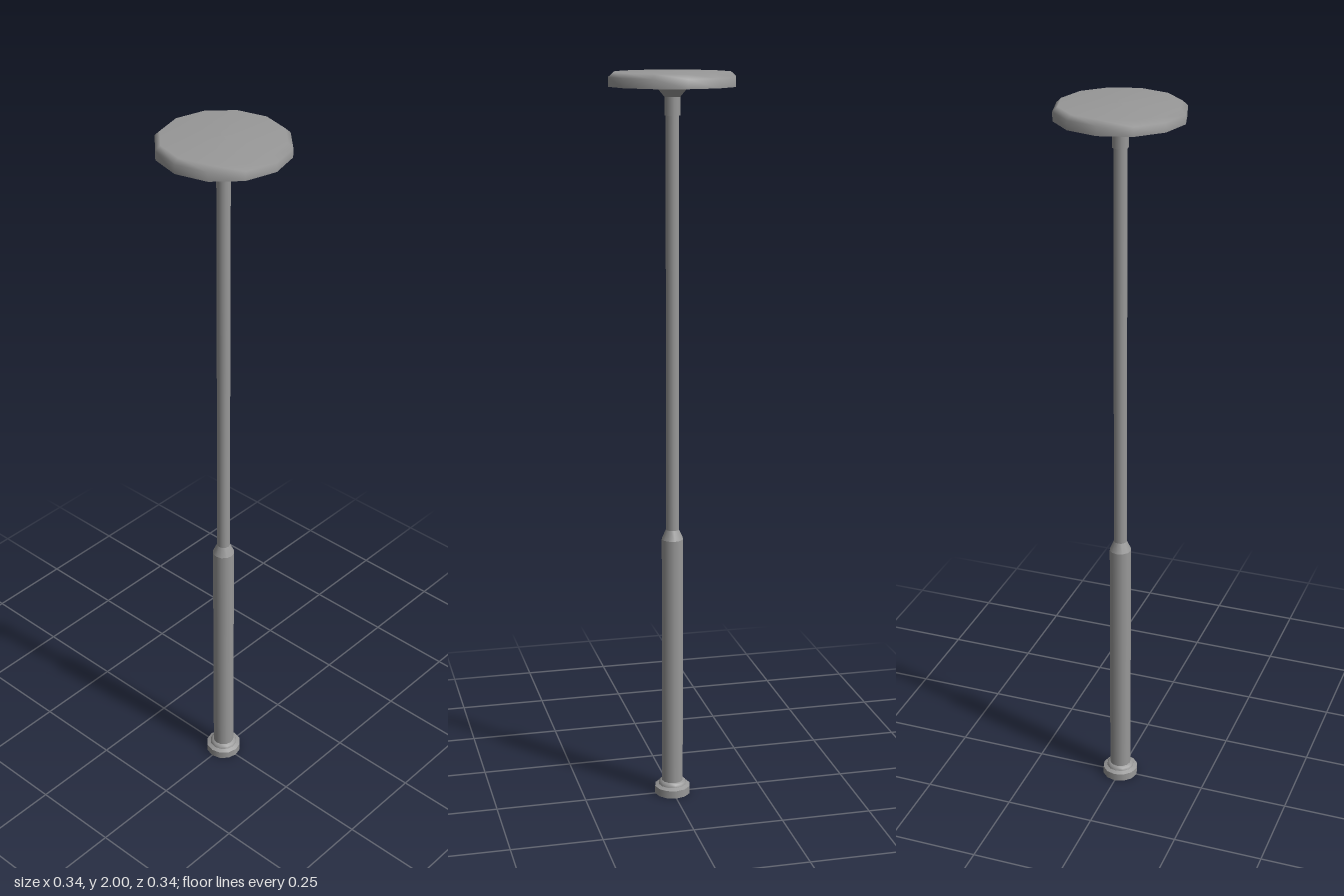
import * as THREE from 'three';

const SIDES = 12;

export function createModel() {
  const group = new THREE.Group();
  group.name = 'streetLamp';
  const material = new THREE.MeshStandardMaterial({ color: 0x999999, side: THREE.DoubleSide });

  // Turned part from runs of [radius, height] pairs, bottom to top:
  // smooth within a run, sharp edge between runs
  const turned = (name, ...runs) => {
    const part = new THREE.Group();
    part.name = name;
    for (const run of runs) {
      const points = run.map(([r, y]) => new THREE.Vector2(r, y));
      part.add(new THREE.Mesh(new THREE.LatheGeometry(points, SIDES), material));
    }
    group.add(part);
  };

  // Foot flange, open underneath, stepping in to the post
  turned('baseFlange',
    [[0.05, 0], [0.05, 0.022]],
    [[0.05, 0.022], [0.039, 0.027]],
    [[0.039, 0.027], [0.037, 0.035], [0.03, 0.038]]);
  // Thick lower post with a tapered shoulder
  turned('lowerPost', [[0.03, 0.03], [0.03, 0.748]], [[0.03, 0.748], [0.018, 0.775]]);
  // Slim upper pole
  turned('upperPole', [[0.018, 0.77], [0.018, 1.9]]);
  // Sleeve flaring out below the lamp head
  turned('headCollar',
    [[0.018, 1.888], [0.021, 1.888]],
    [[0.021, 1.888], [0.021, 1.935]],
    [[0.021, 1.935], [0.044, 1.962]]);
  // Lamp head: flat underside, then rim and top in one soft curve
  turned('lampHead',
    [[0, 1.962], [0.169, 1.962]],
    [[0.169, 1.962], [0.169, 1.986], [0.156, 1.998], [0, 2]]);

  return group;
}
